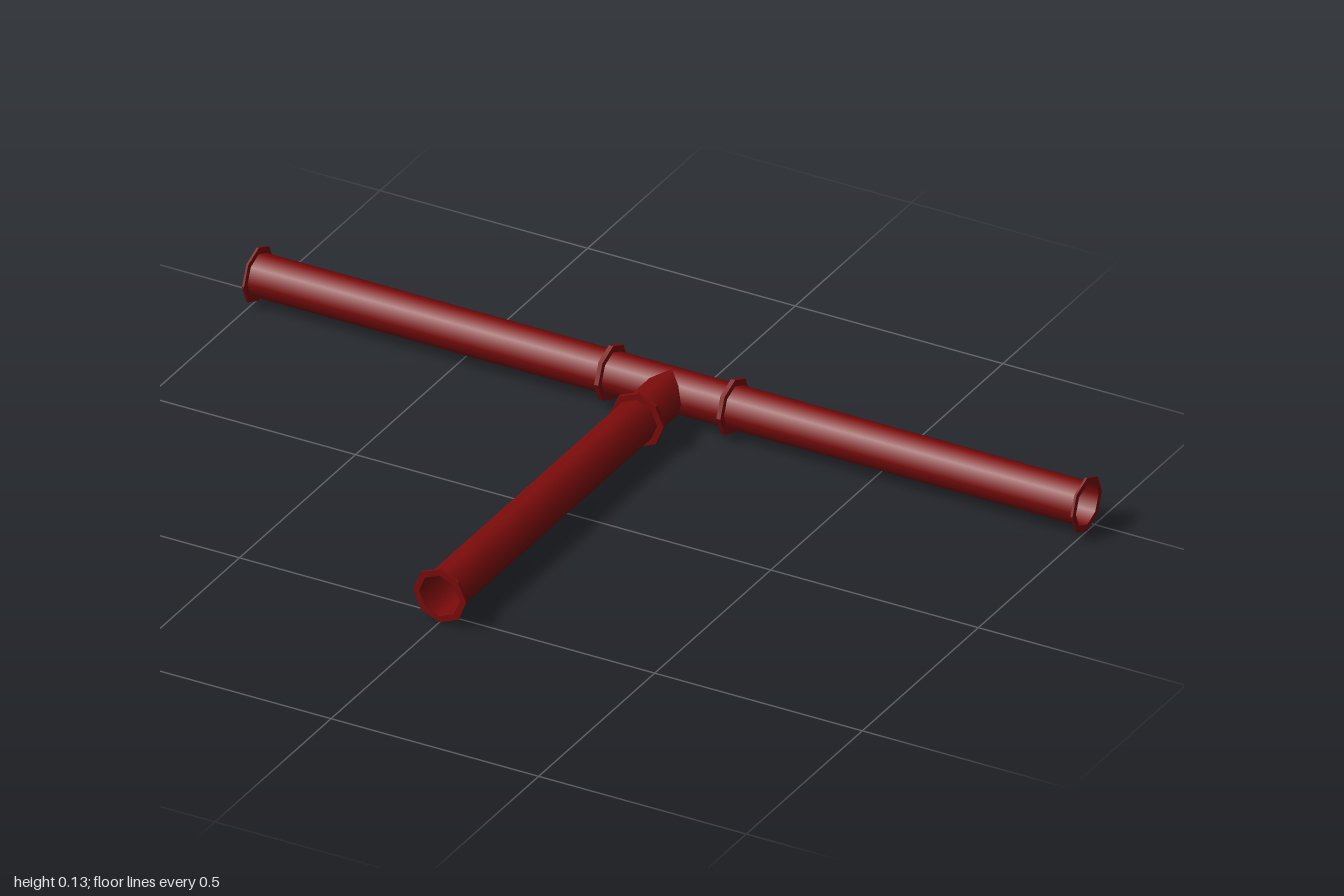
import * as THREE from 'three';

const PIPE_R = 0.049, FLANGE_R = 0.064, FLANGE_T = 0.005, SIDES = 8;
const AXIS_Y = 0.064, AXIS_Z = -0.469; // centre line of the straight run
const JOINT = 0.147, END_X = 1, END_Z = 1.002; // distances from the junction

const red = new THREE.MeshStandardMaterial({ color: 0x7d0c0c, side: THREE.DoubleSide });
red.name = 'dark red paint';

// Open octagonal tube along +y from a to b, smooth shaded
function tube(name, a, b) {
  const geo = new THREE.CylinderGeometry(PIPE_R, PIPE_R, b - a, SIDES, 1, true);
  geo.translate(0, (a + b) / 2, 0);
  const mesh = new THREE.Mesh(geo, red);
  mesh.name = name;
  return mesh;
}

// Thin octagonal ring around the tube, starting at height y
function flange(name, y) {
  const profile = [
    [PIPE_R, 0], [FLANGE_R, 0], [FLANGE_R, FLANGE_T], [PIPE_R, FLANGE_T],
  ].map(([r, h]) => new THREE.Vector2(r, y + h));
  const geo = new THREE.LatheGeometry(profile, SIDES).toNonIndexed();
  geo.computeVertexNormals();
  const mesh = new THREE.Mesh(geo, red);
  mesh.name = name;
  return mesh;
}

// One arm: tee stub, coupling of two flanges, long pipe, end flange
function arm(name, length) {
  const group = new THREE.Group();
  group.name = name;
  group.add(
    tube('teeStub', 0, JOINT),
    flange('teeFlange', JOINT - FLANGE_T),
    flange('pipeFlange', JOINT),
    tube('longPipe', JOINT, length),
    flange('endFlange', length - FLANGE_T),
  );
  group.position.set(0, AXIS_Y, AXIS_Z);
  return group;
}

export function createModel() {
  const model = new THREE.Group();
  model.name = 'pipeTee';

  const left = arm('leftArm', END_X);
  left.rotation.z = -Math.PI / 2;
  const right = arm('rightArm', END_X);
  right.rotation.z = Math.PI / 2;
  const branch = arm('branchArm', END_Z);
  branch.rotation.x = Math.PI / 2;

  model.add(left, right, branch);
  return model;
}
